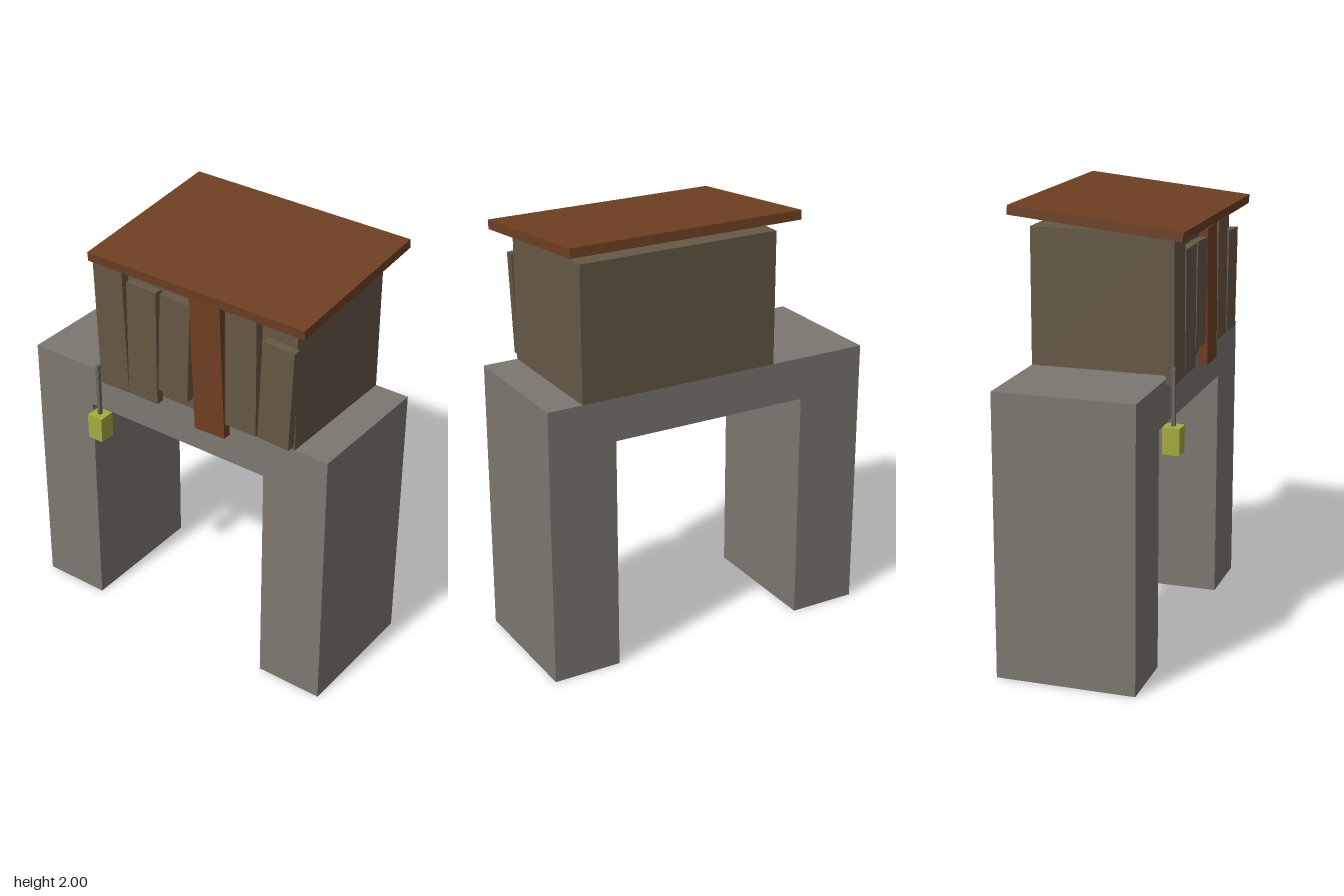
import * as THREE from 'three';

const mat = (name, color) => {
  const m = new THREE.MeshStandardMaterial({ color });
  m.name = name;
  return m;
};

export function createModel() {
  const stone = mat('grey stone', 0x7d7770);
  const wood = mat('weathered wood', 0x655845);
  const brown = mat('brown wood', 0x6e3f22);
  const glow = mat('lantern yellow', 0xa5aa40);
  const iron = mat('dark rope', 0x66645f);

  const model = new THREE.Group();
  model.name = 'archHut';

  const add = (name, geometry, material, x, y, z) => {
    const mesh = new THREE.Mesh(geometry, material);
    mesh.name = name;
    mesh.position.set(x, y, z);
    model.add(mesh);
    return mesh;
  };
  const box = (name, material, [w, h, d], [x, y, z]) =>
    add(name, new THREE.BoxGeometry(w, h, d), material, x, y, z);

  // Stone arch: two legs and a lintel in one outline
  const depth = 0.632;
  const outline = new THREE.Shape([
    [-0.793, 0], [-0.473, 0], [-0.473, 1.09], [0.473, 1.09],
    [0.473, 0], [0.793, 0], [0.793, 1.287], [-0.793, 1.287],
  ].map(([x, y]) => new THREE.Vector2(x, y)));
  add('stoneArch', new THREE.ExtrudeGeometry(outline, { depth, bevelEnabled: false }),
    stone, 0, 0, -depth / 2);

  // Hut body and sloping roof
  box('hutWalls', wood, [0.95, 0.613, depth], [0.155, 1.5935, 0]);
  const roof = box('roof', brown, [1.105, 0.042, 0.786], [0.157, 1.94, 0]);
  roof.rotation.x = 0.098;

  // Crooked front planks: centre x, bottom, top, tilt, material
  const planks = [
    [-0.312, 1.265, 1.893, 0.033, wood],
    [-0.142, 1.268, 1.82, -0.005, wood],
    [0.03, 1.343, 1.82, -0.037, wood],
    [0.204, 1.228, 1.857, 0.042, brown],
    [0.378, 1.307, 1.857, 0.004, wood],
    [0.554, 1.307, 1.78, -0.04, wood],
  ];
  planks.forEach(([x, bottom, top, tilt, material], i) => {
    const plank = box(`plank${i + 1}`, material, [0.157, top - bottom, 0.04],
      [x, (bottom + top) / 2, 0.336]);
    plank.rotation.z = tilt;
  });

  // Hanging lantern
  box('lanternRope', iron, [0.016, 0.26, 0.016], [-0.397, 1.215, 0.357]);
  box('lantern', glow, [0.078, 0.12, 0.078], [-0.397, 1.03, 0.357]);

  return model;
}
